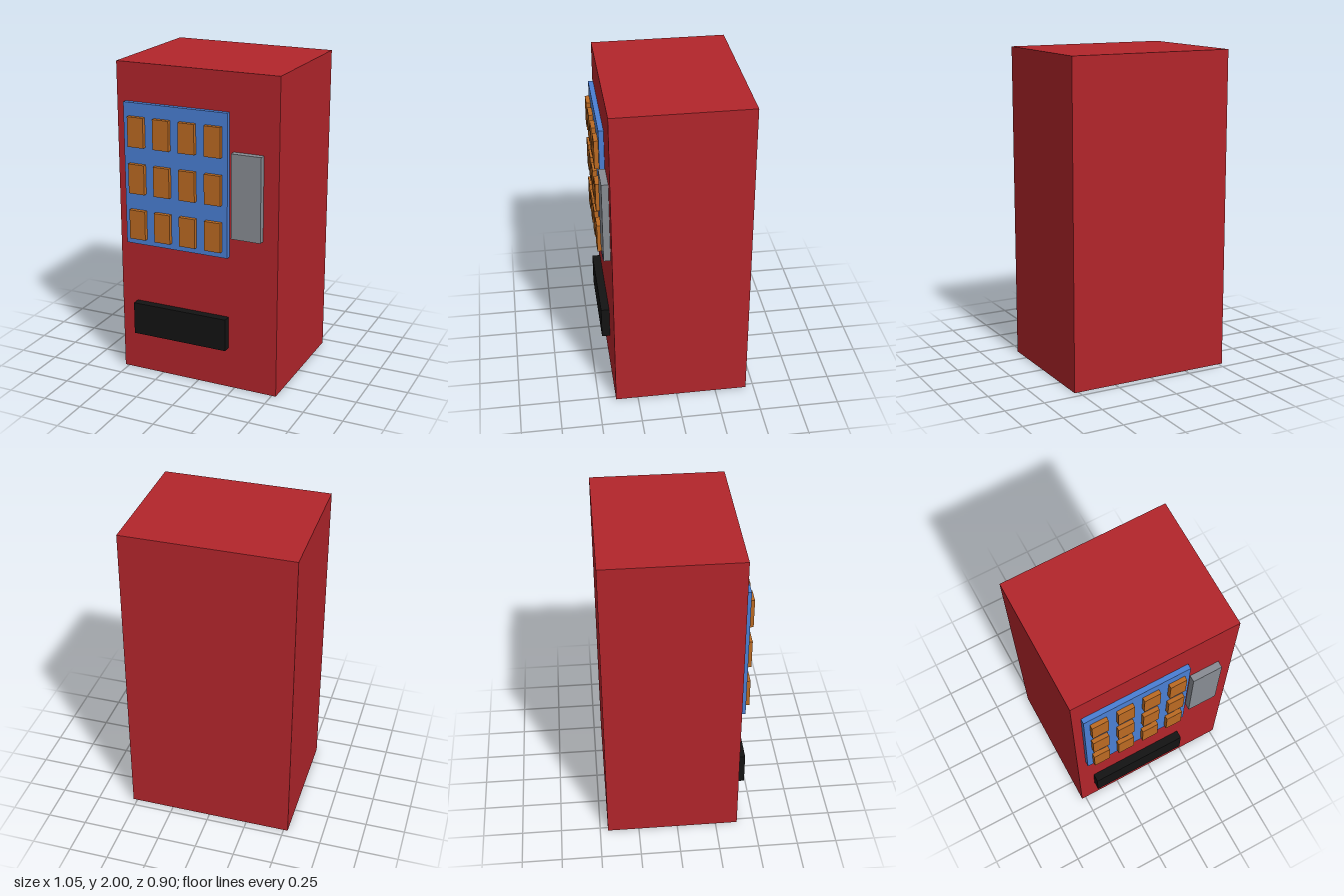
import * as THREE from 'three';

const paint = (color) => new THREE.MeshStandardMaterial({ color });
const red = paint(0xb2252b);
const blue = paint(0x4a7fd4);
const orange = paint(0xbb6a22);
const grey = paint(0x888c93);
const black = paint(0x131313);

const FRONT = 0.39; // z of the cabinet's front face

// Box given by its extents along each axis
function box(name, material, [x0, x1], [y0, y1], [z0, z1]) {
  const mesh = new THREE.Mesh(new THREE.BoxGeometry(x1 - x0, y1 - y0, z1 - z0), material);
  mesh.position.set((x0 + x1) / 2, (y0 + y1) / 2, (z0 + z1) / 2);
  mesh.name = name;
  return mesh;
}

export function createModel() {
  const model = new THREE.Group();
  model.name = 'vendingMachine';

  // Cabinet and the panels on its front
  model.add(
    box('cabinet', red, [-0.527, 0.527], [0, 2], [-0.45, FRONT]),
    box('displayWindow', blue, [-0.47, 0.213], [0.87, 1.763], [FRONT, 0.421]),
    box('controlPanel', grey, [0.241, 0.431], [1.003, 1.528], [FRONT, 0.432]),
    box('deliverySlot', black, [-0.423, 0.209], [0.267, 0.475], [FRONT, 0.442]),
  );

  // Three rows of four products on the window
  const products = new THREE.Group();
  products.name = 'products';
  for (let row = 0; row < 3; row++) {
    for (let col = 0; col < 4; col++) {
      const x = -0.38 + col * 0.1687;
      const y = 1.002 + row * 0.293;
      products.add(box('product', orange, [x - 0.053, x + 0.053], [y - 0.093, y + 0.093], [0.421, 0.448]));
    }
  }
  model.add(products);

  return model;
}
